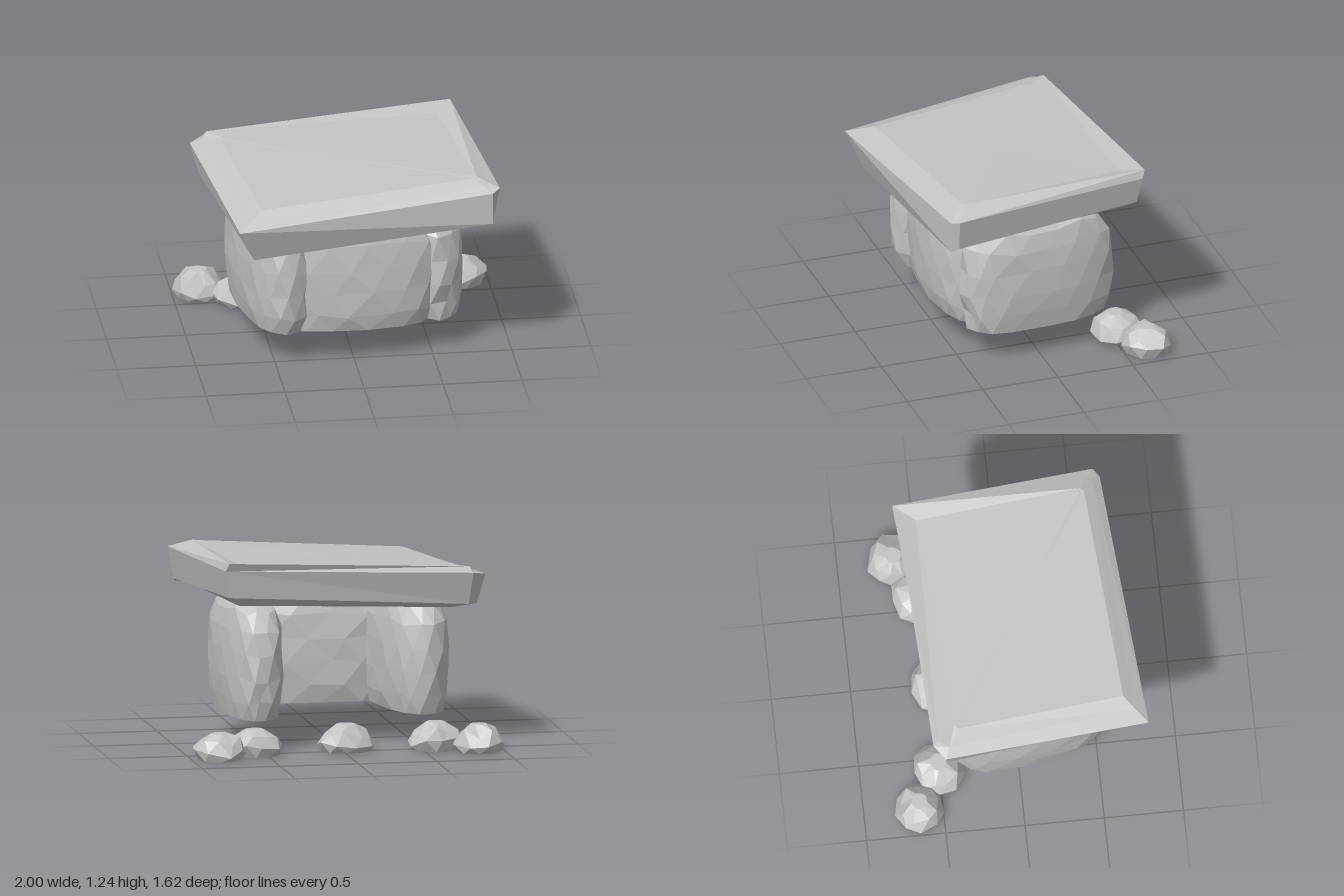
import * as THREE from 'three';

const stoneGrey = new THREE.MeshStandardMaterial({ color: 0xc4c4c4, flatShading: true });
stoneGrey.name = 'stoneGrey';

// seeded random in -1..1
function makeRandom(seed) {
  return () => {
    seed = (seed * 16807) % 2147483647;
    return (seed / 2147483647) * 2 - 1;
  };
}

// skin loops of points from bottom to top and close both ends
function loft(name, loops) {
  const pos = [];
  const tri = (a, b, c) => pos.push(...a, ...b, ...c);
  const n = loops[0].length;
  const middle = (loop) => [0, 1, 2].map((k) => loop.reduce((s, p) => s + p[k], 0) / n);
  for (let i = 0; i < loops.length - 1; i++) {
    for (let j = 0; j < n; j++) {
      const k = (j + 1) % n;
      const a = loops[i][j], b = loops[i][k], c = loops[i + 1][k], d = loops[i + 1][j];
      if (i % 2) { tri(a, c, b); tri(a, d, c); } else { tri(a, d, b); tri(b, d, c); }
    }
  }
  const low = loops[0], high = loops[loops.length - 1];
  const lowMid = middle(low), highMid = middle(high);
  for (let j = 0; j < n; j++) {
    const k = (j + 1) % n;
    tri(lowMid, low[j], low[k]);
    tri(highMid, high[k], high[j]);
  }
  const geo = new THREE.BufferGeometry();
  geo.setAttribute('position', new THREE.Float32BufferAttribute(pos, 3));
  geo.computeVertexNormals();
  const mesh = new THREE.Mesh(geo, stoneGrey);
  mesh.name = name;
  return mesh;
}

// rough stone: superellipse rings [y, widthScale, lengthScale] with jitter, every other ring turned half a step
function rock(name, { x, z, width, length, turn = 0, rings, sides, power, jitter, seed }) {
  const rnd = makeRandom(seed);
  const bulge = Array.from({ length: sides }, () => 1 + rnd() * jitter);
  const round = (v) => Math.sign(v) * Math.abs(v) ** (2 / power);
  const loops = rings.map(([y, sw, sl], i) => bulge.map((r, j) => {
    const a = ((j + rnd() * 0.15 + (i % 2) * 0.5) / sides) * Math.PI * 2;
    const s = r * (1 + rnd() * jitter * 0.5);
    const end = i === 0 || i === rings.length - 1;
    return [round(Math.cos(a)) * width * sw * s, y + (end ? 0 : rnd() * jitter * 0.6),
      round(Math.sin(a)) * length * sl * s];
  }));
  const mesh = loft(name, loops);
  mesh.position.set(x, 0, z);
  mesh.rotation.y = turn;
  return mesh;
}

export function createModel() {
  const model = new THREE.Group();

  // tilted capstone: loops run front left, back left (cut corner), back right, front right (cut corner)
  model.add(loft('capstone', [
    [[-0.64, 0.785, 0.69], [-0.74, 0.885, -0.41], [-0.7, 0.885, -0.43], [0.68, 0.955, -0.55], [0.8, 0.94, 0.55], [0.78, 0.925, 0.6]],
    [[-0.66, 0.79, 0.72], [-0.86, 0.91, -0.46], [-0.8, 0.915, -0.51], [0.75, 1.015, -0.61], [0.87, 0.95, 0.61], [0.86, 0.93, 0.66]],
    [[-0.76, 1.01, 0.805], [-0.91, 1.1, -0.49], [-0.82, 1.12, -0.56], [0.78, 1.19, -0.64], [0.91, 1.155, 0.62], [0.86, 1.135, 0.66]],
    [[-0.68, 1.055, 0.73], [-0.84, 1.125, -0.46], [-0.8, 1.157, -0.53], [0.76, 1.24, -0.66], [0.84, 1.18, 0.575], [0.81, 1.168, 0.61]],
    [[-0.6, 1.1, 0.66], [-0.73, 1.15, -0.39], [-0.71, 1.155, -0.42], [0.66, 1.207, -0.52], [0.77, 1.207, 0.53], [0.75, 1.2, 0.55]],
  ]));

  // three upright stones
  const uprightRings = [
    [0.2, 0.84, 0.9], [0.31, 0.95, 0.96], [0.46, 1, 1], [0.62, 1, 1],
    [0.77, 0.95, 0.96], [0.88, 0.8, 0.8], [0.945, 0.5, 0.55],
  ];
  const uprights = [
    { name: 'rightUpright', x: -0.495, z: 0.08, width: 0.21, length: 0.535, turn: 0.17, seed: 311 },
    { name: 'leftUpright', x: 0.535, z: -0.02, width: 0.19, length: 0.505, turn: 0.06, seed: 7243 },
    { name: 'frontUpright', x: -0.02, z: 0.365, width: 0.21, length: 0.55, turn: Math.PI / 2, seed: 991 },
  ];
  for (const u of uprights) {
    model.add(rock(u.name, { ...u, rings: uprightRings, sides: 15, power: 2.3, jitter: 0.035 }));
  }

  // loose ground stones at the back: x, z, half width, half depth, height
  const loose = [
    [-0.835, -0.65, 0.168, 0.158, 0.175],
    [-0.585, -0.505, 0.185, 0.16, 0.175],
    [-0.02, -0.465, 0.19, 0.16, 0.17],
    [0.575, -0.525, 0.185, 0.16, 0.165],
    [0.82, -0.65, 0.175, 0.162, 0.165],
  ];
  loose.forEach(([x, z, width, length, h], i) => {
    model.add(rock('groundStone' + (i + 1), {
      x, z, width, length, sides: 9, power: 2, jitter: 0.05, seed: 500 + i * 777,
      rings: [[0, 0.84, 0.84], [0.055, 1, 1], [h * 0.7, 0.78, 0.78], [h, 0.32, 0.32]],
    }));
  });

  return model;
}
